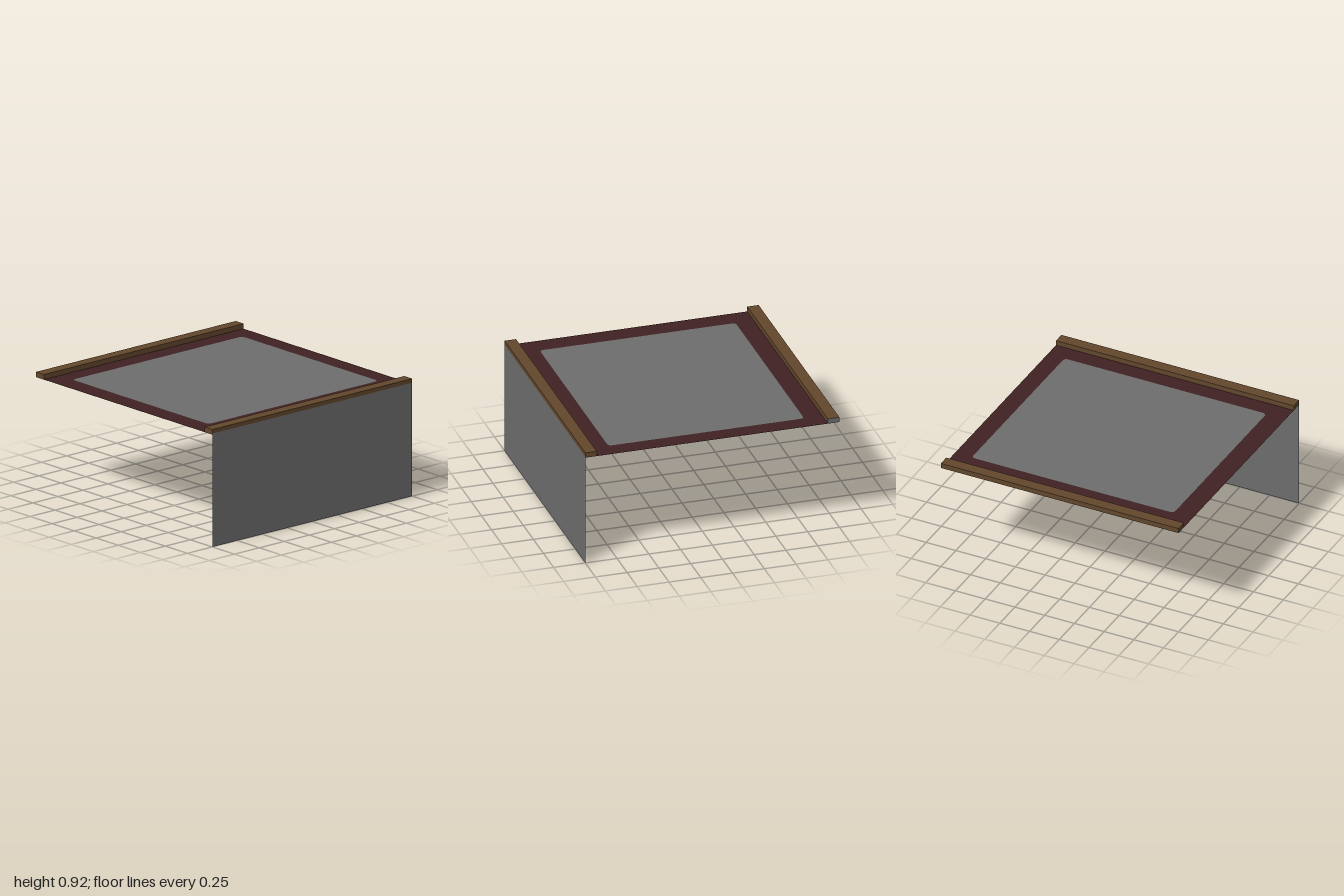
import * as THREE from 'three';

const flat = (name, color) => {
  const m = new THREE.MeshStandardMaterial({ color, side: THREE.DoubleSide });
  m.name = name;
  return m;
};

// Rectangle outline with rounded corners
function roundedRect(path, x0, y0, x1, y1, r) {
  path.moveTo(x0 + r, y0);
  path.lineTo(x1 - r, y0);
  path.quadraticCurveTo(x1, y0, x1, y0 + r);
  path.lineTo(x1, y1 - r);
  path.quadraticCurveTo(x1, y1, x1 - r, y1);
  path.lineTo(x0 + r, y1);
  path.quadraticCurveTo(x0, y1, x0, y1 - r);
  path.lineTo(x0, y0 + r);
  path.quadraticCurveTo(x0, y0, x0 + r, y0);
  return path;
}

export function createModel() {
  const root = new THREE.Group();
  root.name = 'canopy';

  const grey = flat('grey cloth', 0x6d6d6d);
  const brown = flat('brown wood', 0x62472c);
  const red = flat('dark red border', 0x402123);

  const TOP = 0.92, BOTTOM = 0.88, INNER = 0.91, SHEET_TOP = 0.888;

  // Flat sheet of given size, placed and turned
  function sheet(parent, name, material, w, h, pos, rot = [0, 0, 0]) {
    const mesh = new THREE.Mesh(new THREE.PlaneGeometry(w, h), material);
    mesh.name = name;
    mesh.position.set(...pos);
    mesh.rotation.set(...rot);
    parent.add(mesh);
    return mesh;
  }

  // Roof cloth: border with a rounded centre field in the same plane
  const hole = [-0.84, -0.775, 0.86, 0.767, 0.035];
  const border = new THREE.Shape();
  border.moveTo(-1, -INNER);
  border.lineTo(1, -INNER);
  border.lineTo(1, INNER);
  border.lineTo(-1, INNER);
  border.closePath();
  border.holes.push(roundedRect(new THREE.Path(), ...hole));
  const field = roundedRect(new THREE.Shape(), ...hole);
  for (const [name, shape, material] of [['roofBorder', border, red], ['roofField', field, grey]]) {
    const mesh = new THREE.Mesh(new THREE.ShapeGeometry(shape), material);
    mesh.name = name;
    mesh.rotation.x = -Math.PI / 2;
    mesh.position.y = BOTTOM;
    root.add(mesh);
  }

  // Front and back rails: thin channels, open underneath
  for (const [name, s] of [['frontRail', 1], ['backRail', -1]]) {
    const rail = new THREE.Group();
    rail.name = name;
    const depth = 1 - INNER, zMid = s * (1 + INNER) / 2;
    const height = TOP - BOTTOM, yMid = (TOP + BOTTOM) / 2;
    const outerBottom = s > 0 ? SHEET_TOP : BOTTOM;
    sheet(rail, 'railTop', brown, 2, depth, [0, TOP, zMid], [-Math.PI / 2, 0, 0]);
    sheet(rail, 'railInnerWall', brown, 2, height, [0, yMid, s * INNER], [0, s > 0 ? Math.PI : 0, 0]);
    sheet(rail, 'railOuterWall', brown, 2, TOP - outerBottom, [0, (TOP + outerBottom) / 2, s], [0, s > 0 ? 0 : Math.PI, 0]);
    for (const e of [1, -1]) {
      const material = s < 0 && e > 0 ? grey : brown;
      sheet(rail, 'railEnd', material, depth, height, [e, yMid, zMid], [0, e * Math.PI / 2, 0]);
    }
    root.add(rail);
  }

  // Cloth hanging from the front rail to the ground
  sheet(root, 'frontCurtain', grey, 2, SHEET_TOP, [0, SHEET_TOP / 2, 1]);

  return root;
}
